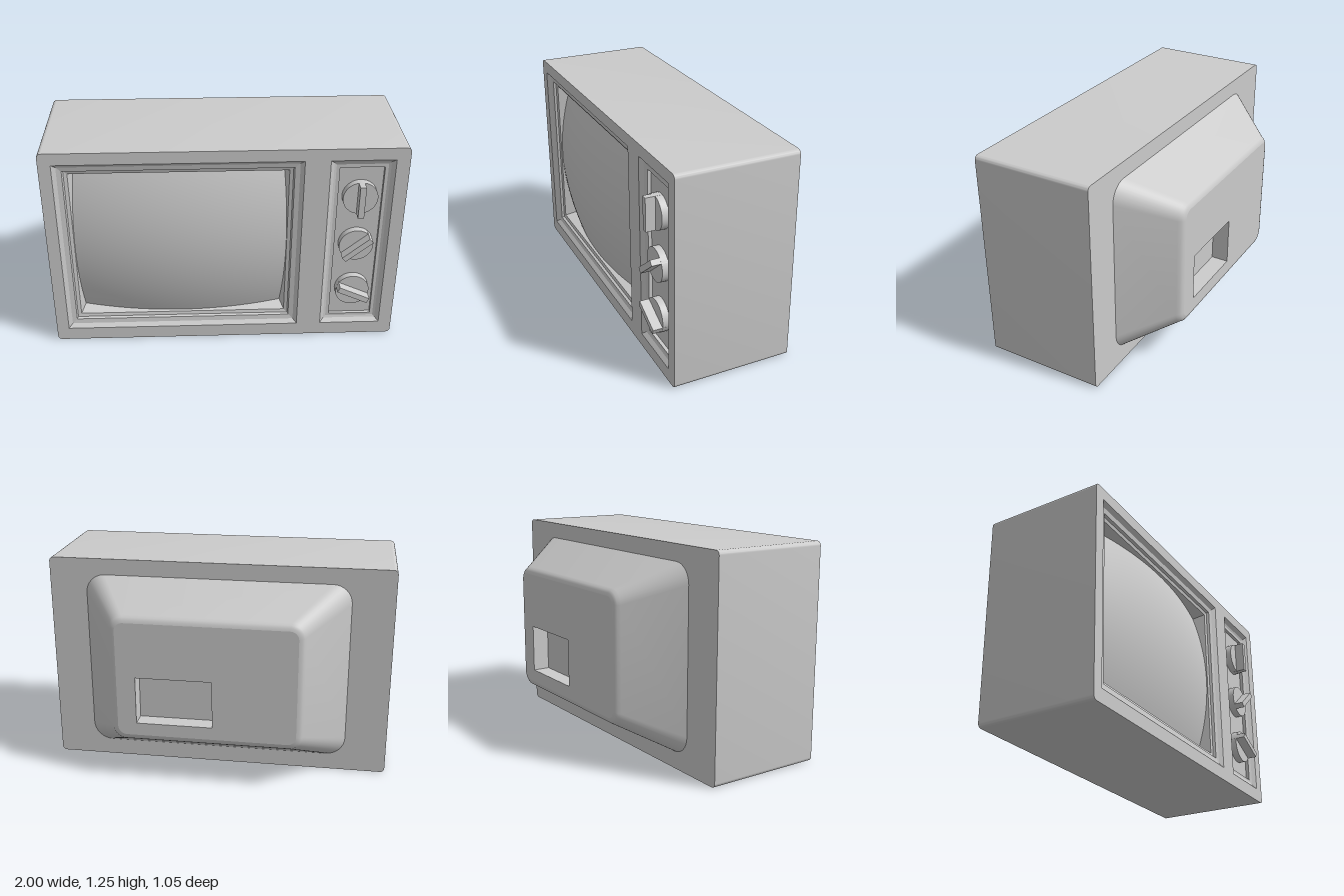
import * as THREE from 'three';
import { toCreasedNormals } from 'three/addons/utils/BufferGeometryUtils.js';

const material = new THREE.MeshStandardMaterial({ color: 0xcccccc });

// Rectangular section at depth z; r rounds its corners
const section = (x0, x1, y0, y1, z, r = 0) => ({ x0, x1, y0, y1, z, r });
const inset = (s, d, z, r = s.r) => section(s.x0 + d, s.x1 - d, s.y0 + d, s.y1 - d, z, r);

// Counter-clockwise outline of a section, seen from +z
function outline({ x0, x1, y0, y1, r }) {
  const points = [];
  const corners = [[x1 - r, y0 + r], [x1 - r, y1 - r], [x0 + r, y1 - r], [x0 + r, y0 + r]];
  const steps = r > 0 ? 8 : 0;
  corners.forEach(([cx, cy], k) => {
    for (let i = 0; i <= steps; i++) {
      const a = (k - 1 + (steps ? i / steps : 0)) * Math.PI / 2;
      points.push(new THREE.Vector2(cx + r * Math.cos(a), cy + r * Math.sin(a)));
    }
  });
  return points;
}

// Skin through sections: faces outward towards +z, inward towards -z
function loft(sections, crease = 0.6) {
  const positions = [], index = [];
  const n = outline(sections[0]).length;
  sections.forEach((s, j) => {
    outline(s).forEach((p) => positions.push(p.x, p.y, s.z));
    if (j === 0) return;
    for (let i = 0; i < n; i++) {
      const k = (i + 1) % n, a = (j - 1) * n, b = j * n;
      index.push(a + i, a + k, b + k, a + i, b + k, b + i);
    }
  });
  const geometry = new THREE.BufferGeometry();
  geometry.setAttribute('position', new THREE.Float32BufferAttribute(positions, 3));
  geometry.setIndex(index);
  return toCreasedNormals(geometry, crease);
}

// Flat face filling a section, with optional holes, facing +z or the back
function face(s, holes = [], back = false) {
  const shape = new THREE.Shape(outline(s));
  holes.forEach((h) => shape.holes.push(new THREE.Path(outline(h).reverse())));
  const geometry = new THREE.ShapeGeometry(shape);
  if (back) {
    geometry.setIndex(Array.from(geometry.index.array).reverse());
    geometry.computeVertexNormals();
  }
  return geometry.translate(0, 0, s.z);
}

function add(parent, name, geometry) {
  const mesh = new THREE.Mesh(geometry, material);
  mesh.name = name;
  parent.add(mesh);
  return mesh;
}

function makeCabinet() {
  const group = new THREE.Group();
  group.name = 'cabinet';
  const front = section(-1, 1, 0, 1.25, 0.475, 0.025);
  const back = inset(front, 0, -0.225);
  const screenEdge = section(-0.93, 0.43, 0.08, 1.18, 0.475);
  const panelEdge = section(0.57, 0.925, 0.08, 1.18, 0.475);
  add(group, 'cabinetShell', loft([back, front]));
  add(group, 'cabinetFront', face(front, [screenEdge, panelEdge]));
  add(group, 'cabinetBack', face(back, [], true));

  // Stepped frame around the screen, ending in a tapered wall
  add(group, 'screenFrame', loft([
    screenEdge,
    inset(screenEdge, 0.022, 0.455),
    inset(screenEdge, 0.05, 0.45),
    inset(screenEdge, 0.056, 0.435),
    inset(screenEdge, 0.076, 0.43),
    inset(screenEdge, 0.105, 0.33),
  ], 0.1));

  // Recessed control panel
  const panel = section(0.625, 0.872, 0.13, 1.125, 0.43);
  add(group, 'panelFrame', loft([
    panelEdge,
    inset(panelEdge, 0.022, 0.455),
    inset(panelEdge, 0.035, 0.45),
    inset(panel, 0, 0.45),
    panel,
  ], 0.1));
  add(group, 'controlPanel', face(panel));
  return group;
}

// Bulging picture tube face
function makeScreen() {
  const geometry = new THREE.PlaneGeometry(1.206, 0.946, 32, 24);
  const p = geometry.attributes.position;
  for (let i = 0; i < p.count; i++) {
    const u = p.getX(i) / 0.6, v = p.getY(i) / 0.475;
    p.setZ(i, 0.495 - 0.07 * u * u - 0.08 * v * v);
  }
  geometry.computeVertexNormals();
  return geometry.translate(-0.25, 0.63, 0);
}

// Round dial with a raised grip bar
function makeKnob(y, angle) {
  const knob = new THREE.Group();
  knob.name = 'knob';
  const disc = new THREE.CylinderGeometry(0.098, 0.098, 0.04, 40);
  add(knob, 'knobDisc', disc.rotateX(Math.PI / 2).translate(0, 0, 0.02));
  add(knob, 'knobGrip', new THREE.BoxGeometry(0.194, 0.034, 0.095).translate(0, 0, 0.0475));
  knob.position.set(0.748, y, 0.43);
  knob.rotation.z = angle;
  return knob;
}

// Tapered rear housing with a rounded edge and a socket pocket
function makeHousing() {
  const group = new THREE.Group();
  group.name = 'rearHousing';
  const base = section(-0.757, 0.783, 0.1, 1.155, -0.225, 0.11);
  const shoulder = section(-0.525, 0.585, 0.25, 1.01, -0.495, 0.08);
  const rear = inset(shoulder, 0.04, -0.525, 0.05);
  add(group, 'housingShell', loft([
    rear,
    inset(shoulder, 0.024, -0.521, 0.062),
    inset(shoulder, 0.01, -0.511, 0.072),
    shoulder,
    base,
  ], 0.7));
  const mouth = section(-0.005, 0.435, 0.365, 0.645, -0.525);
  const floor = inset(mouth, 0, -0.425);
  add(group, 'housingBack', face(rear, [mouth], true));
  add(group, 'socketWalls', loft([floor, mouth]));
  add(group, 'socketFloor', face(floor, [], true));
  return group;
}

export function createModel() {
  const model = new THREE.Group();
  model.name = 'television';
  model.add(makeCabinet(), makeHousing());
  add(model, 'screen', makeScreen());
  [[0.94, 90], [0.63, 40], [0.315, -25]].forEach(([y, degrees]) => {
    model.add(makeKnob(y, THREE.MathUtils.degToRad(degrees)));
  });
  return model;
}
